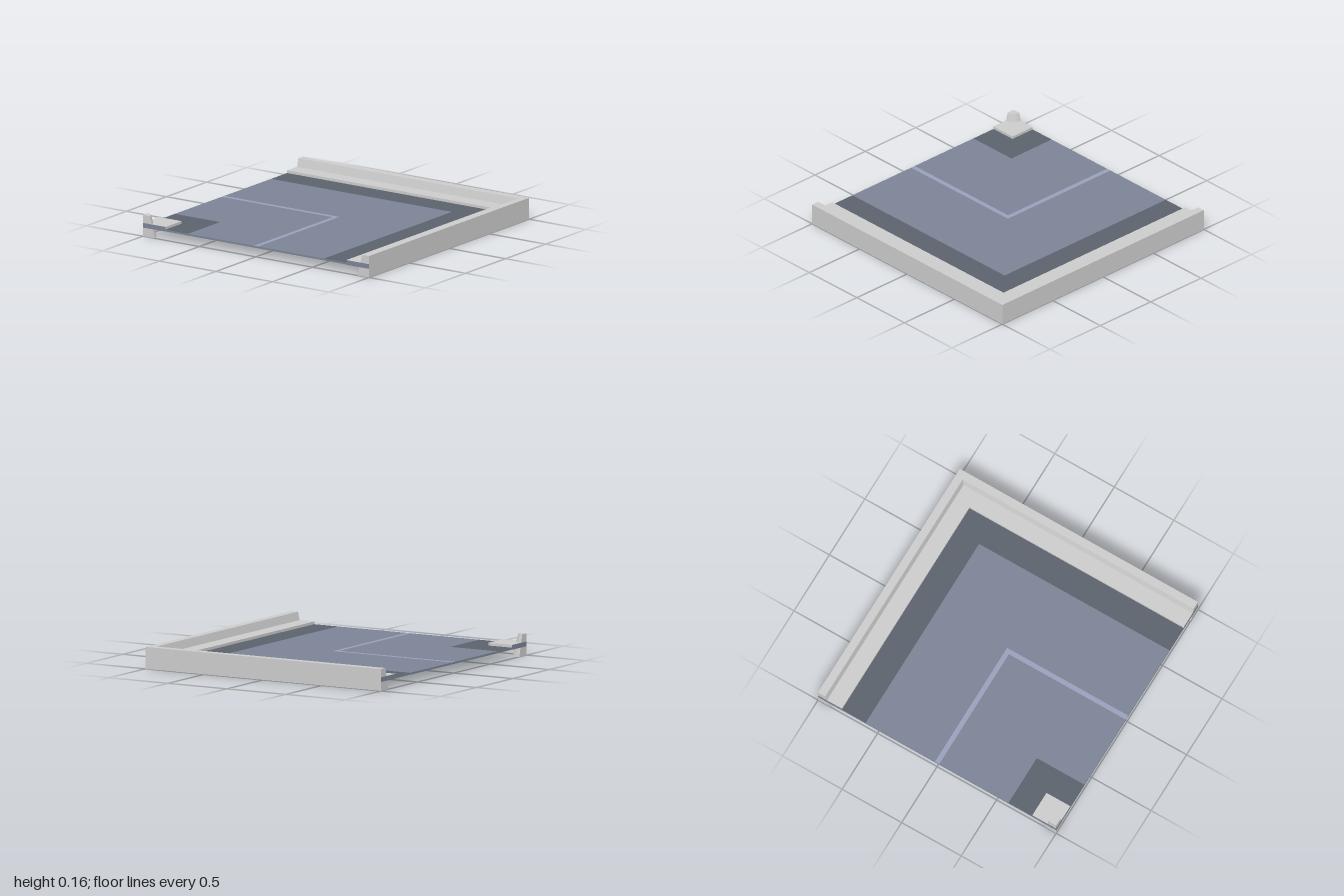
import * as THREE from 'three';
import { toCreasedNormals } from 'three/addons/utils/BufferGeometryUtils.js';

const mat = (color) => new THREE.MeshStandardMaterial({ color });
const grey = mat(0xcccccc);
const roadBlue = mat(0x7b8396);
const asphaltDark = mat(0x5b626d);
const lineBlue = mat(0x99a0ba);

// Heights of the layers
const BOTTOM = 0.065, ROAD = 0.08, KERB = 0.1, TOP = 0.16, PLATE = 0.001;

// Plan outlines are drawn in (x, -z)
const outline = (pts) => new THREE.Shape(pts.map(([x, z]) => new THREE.Vector2(x, -z)));

// L-shaped strip along the back and the +x side, between insets a (outer) and b (inner)
const strip = (a, b) => outline([
  [-1, b - 1], [1 - b, b - 1], [1 - b, 1], [1 - a, 1], [1 - a, a - 1], [-1, a - 1],
]);

// Rectangle or square anchored in the front corner at (-1, 1)
const square = (s) => outline([[-1, 1], [s - 1, 1], [s - 1, 1 - s], [-1, 1 - s]]);

// L-shaped band in the front corner, from distance a to distance b
const corner = (a, b) => outline([
  [a - 1, 1], [b - 1, 1], [b - 1, 1 - b], [-1, 1 - b], [-1, 1 - a], [a - 1, 1 - a],
]);

// Quarter disc in the front corner
function quarter(r) {
  const s = new THREE.Shape();
  s.moveTo(-1, -1);
  s.lineTo(r - 1, -1);
  s.absarc(-1, -1, r, 0, Math.PI / 2, false);
  s.lineTo(-1, -1);
  return s;
}

// Upright prism; an optional rule moves the upper vertices to give a taper
function prism(shape, y0, y1, rule) {
  const g = new THREE.ExtrudeGeometry(shape, { depth: y1 - y0, bevelEnabled: false, curveSegments: 8 });
  g.rotateX(-Math.PI / 2).translate(0, y0, 0);
  if (!rule) return g;
  const p = g.attributes.position;
  const v = new THREE.Vector3();
  for (let i = 0; i < p.count; i++) {
    v.fromBufferAttribute(p, i);
    if (v.y > (y0 + y1) / 2) rule(v);
    p.setXYZ(i, v.x, v.y, v.z);
  }
  return toCreasedNormals(g, 0.5);
}

// Barrier width at a given height: 0.10 at the ground, 0.06 at the top
const width = (y) => 0.1 - 0.25 * y;

function barrier(y0, y1) {
  const w0 = width(y0), w1 = width(y1);
  return prism(strip(0, w0), y0, y1, (v) => {
    if (Math.abs(v.x - (1 - w0)) < 1e-4) v.x = 1 - w1;
    if (Math.abs(v.z - (w0 - 1)) < 1e-4) v.z = w1 - 1;
  });
}

function cornerPost(y0, y1) {
  const k = width(y1) / width(y0);
  return prism(quarter(width(y0)), y0, y1, (v) => {
    v.x = -1 + (v.x + 1) * k;
    v.z = 1 + (v.z - 1) * k;
  });
}

export function createModel() {
  const root = new THREE.Group();
  root.name = 'roadCornerTile';
  const add = (name, geometry, material) => {
    const m = new THREE.Mesh(geometry, material);
    m.name = name;
    root.add(m);
    return m;
  };

  // Underside plate
  add('underside', new THREE.BoxGeometry(2, PLATE, 2).translate(0, BOTTOM + PLATE / 2, 0), grey);

  // Road surface, from the outer edge to the inner corner
  const y = BOTTOM + PLATE;
  const h = 0.018;
  const surface = (name, shape, cap) => add(name, prism(shape, y, ROAD), [cap, roadBlue]);
  surface('outerShoulder', strip(0.2, 0.4), asphaltDark);
  surface('outerLane', strip(0.4, 1 - h), roadBlue);
  surface('centreLine', strip(1 - h, 1 + h), lineBlue);
  surface('innerLane', corner(0.4, 1 - h), roadBlue);
  surface('innerShoulder', corner(0.2, 0.4), asphaltDark);

  // Raised kerbs
  add('outerKerb', prism(strip(0, 0.2), y, KERB), grey);
  add('innerKerb', prism(square(0.2), y, KERB), grey);

  // Coloured cut ends of the kerbs
  const endGeo = new THREE.PlaneGeometry(0.2, KERB - BOTTOM);
  const endY = (KERB + BOTTOM) / 2;
  for (const s of [-0.9, 0.9]) {
    add('kerbEndFront', endGeo, roadBlue).position.set(s, endY, 1.0005);
    const side = add('kerbEndSide', endGeo, roadBlue);
    side.position.set(-1.0005, endY, s);
    side.rotation.y = -Math.PI / 2;
  }

  // Tapered barrier and corner post, above the kerb and below the slab
  for (const [label, y0, y1] of [['lower', 0, BOTTOM], ['upper', KERB, TOP]]) {
    add(label + 'Barrier', barrier(y0, y1), grey);
    add(label + 'CornerPost', cornerPost(y0, y1), grey);
  }
  return root;
}
